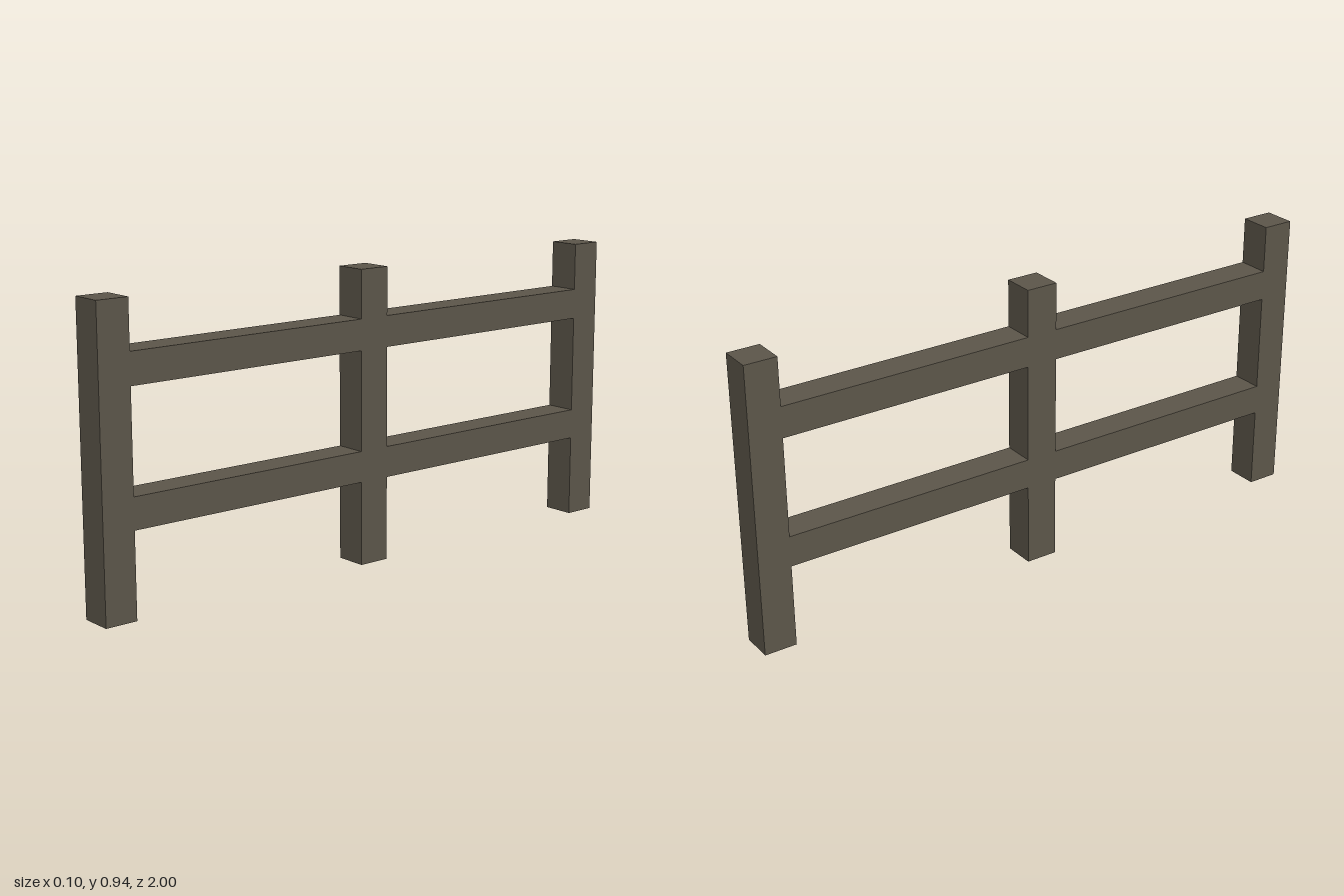
import * as THREE from 'three';

export function createModel() {
  const group = new THREE.Group();
  group.name = 'fence';
  const wood = new THREE.MeshStandardMaterial({ color: 0x5c564a });
  wood.name = 'weathered wood';

  const thick = 0.105, height = 0.94;
  const postZ = [-1 + thick / 2, 0, 1 - thick / 2];

  const addBeam = (name, h, length, y, z) => {
    const mesh = new THREE.Mesh(new THREE.BoxGeometry(thick, h, length), wood);
    mesh.name = name;
    mesh.position.set(0, y, z);
    group.add(mesh);
  };

  // Three upright posts
  postZ.forEach((z, i) => addBeam(['backPost', 'middlePost', 'frontPost'][i], height, thick, height / 2, z));

  // Two rails between each pair of posts, flush with their sides
  for (let i = 0; i < 2; i++) {
    const span = postZ[i + 1] - postZ[i] - thick;
    const z = (postZ[i] + postZ[i + 1]) / 2;
    const side = i ? 'front' : 'back';
    addBeam(side + 'LowerRail', 0.099, span, 0.319, z);
    addBeam(side + 'UpperRail', 0.099, span, 0.737, z);
  }
  return group;
}
